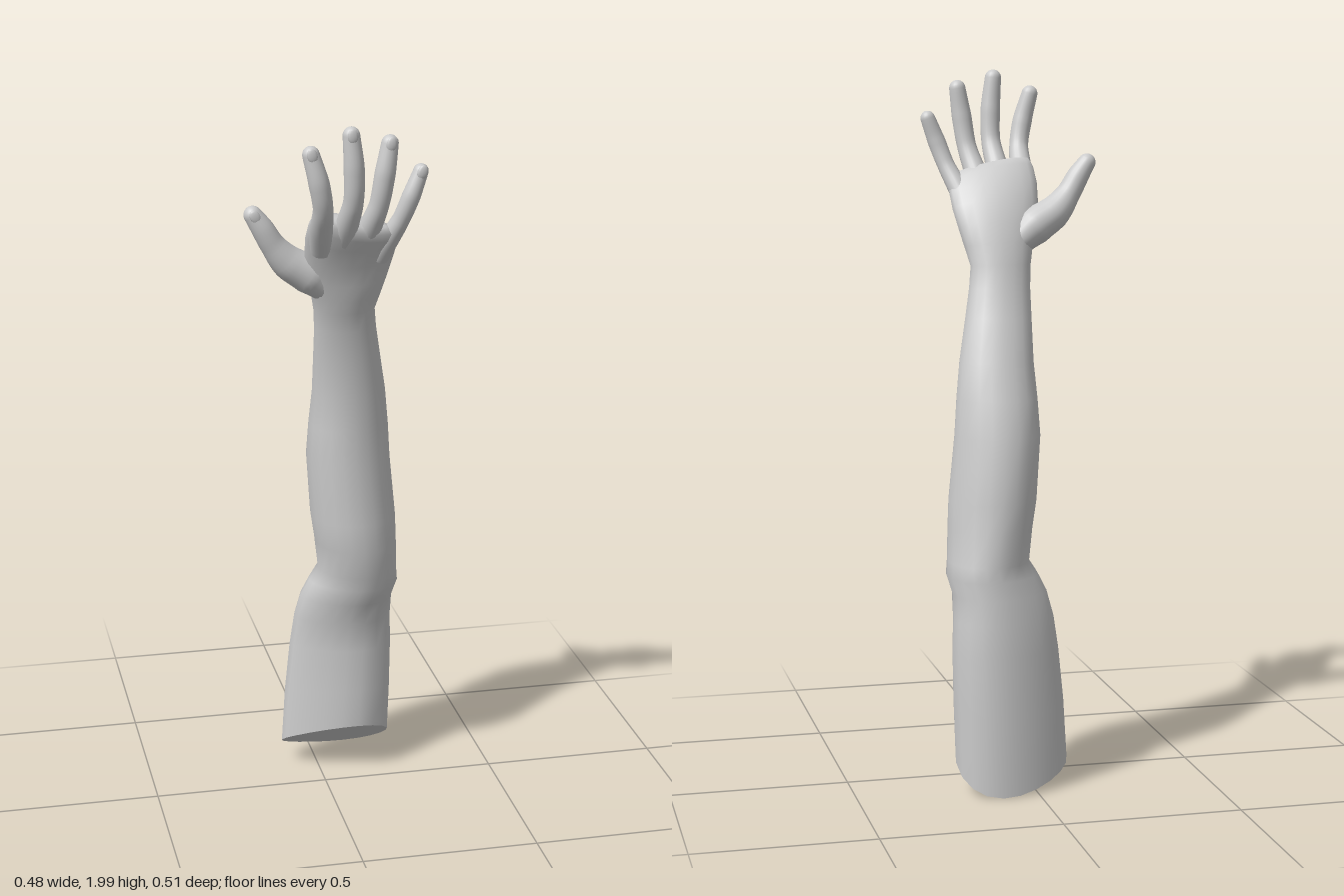
import * as THREE from 'three';

const SIDES = 20;
const skin = new THREE.MeshStandardMaterial({ color: 0xcccccc });

// Skin a list of rings (each SIDES points, counter-clockwise round the growth direction reversed)
function loft(rings, name, capStart) {
  const pos = rings.flat().flatMap(p => [p.x, p.y, p.z]);
  const index = [];
  for (let i = 0; i < rings.length - 1; i++) {
    for (let j = 0; j < SIDES; j++) {
      const k = (j + 1) % SIDES;
      const a = i * SIDES + j, b = a + SIDES, c = i * SIDES + k, d = c + SIDES;
      index.push(a, b, c, c, b, d);
    }
  }
  // Flat cut face with its own vertices, so the rim stays sharp
  if (capStart) {
    const base = pos.length / 3;
    const mid = new THREE.Vector3();
    rings[0].forEach(p => { mid.addScaledVector(p, 1 / SIDES); pos.push(p.x, p.y, p.z); });
    pos.push(mid.x, mid.y, mid.z);
    for (let j = 0; j < SIDES; j++) index.push(base + SIDES, base + j, base + (j + 1) % SIDES);
  }
  const geo = new THREE.BufferGeometry();
  geo.setAttribute('position', new THREE.Float32BufferAttribute(pos, 3));
  geo.setIndex(index);
  geo.computeVertexNormals();
  const mesh = new THREE.Mesh(geo, skin);
  mesh.name = name;
  return mesh;
}

// Oval ring: x range, z range, egg (deeper towards +x), slope of y along z, slope of y along x
function oval([y, x0, x1, z0, z1, egg = 0, tilt = 0, lean = 0]) {
  const cx = (x0 + x1) / 2, cz = (z0 + z1) / 2, hx = (x1 - x0) / 2, hz = (z1 - z0) / 2;
  return Array.from({ length: SIDES }, (_, j) => {
    const a = j / SIDES * Math.PI * 2;
    const dx = Math.cos(a) * hx, dz = Math.sin(a) * hz * (1 + egg * Math.cos(a));
    return new THREE.Vector3(cx + dx, y + dz * tilt + dx * lean, cz + dz);
  });
}

// Rounded digit along a smooth path, with a radius given at each path point
function digit(name, path, radii) {
  const curve = new THREE.CatmullRomCurve3(path.map(p => new THREE.Vector3(...p)));
  const steps = 28, last = path.length - 1;
  const frames = curve.computeFrenetFrames(steps, false);
  const rings = [];
  const ring = (centre, i, r) => rings.push(Array.from({ length: SIDES }, (_, j) => {
    const a = j / SIDES * Math.PI * 2;
    return centre.clone().addScaledVector(frames.normals[i], Math.cos(a) * r)
      .addScaledVector(frames.binormals[i], -Math.sin(a) * r);
  }));
  for (let i = 0; i <= steps; i++) {
    const t = curve.getUtoTmapping(i / steps) * last, k = Math.min(Math.floor(t), last - 1);
    ring(curve.getPointAt(i / steps), i, THREE.MathUtils.lerp(radii[k], radii[k + 1], t - k));
  }
  // Dome over the fingertip
  const end = curve.getPoint(1), r = radii[last];
  for (let s = 1; s <= 6; s++) {
    const a = s / 6 * Math.PI / 2;
    ring(end.clone().addScaledVector(frames.tangents[steps], Math.sin(a) * r), steps, Math.max(Math.cos(a) * r, 1e-4));
  }
  return loft(rings, name, false);
}

// Flattened nail on the back of a fingertip
function nail(name, [x, y, z], roll) {
  const mesh = new THREE.Mesh(new THREE.SphereGeometry(1, 12, 8), skin);
  mesh.scale.set(0.014, 0.02, 0.006);
  mesh.position.set(x, y, z);
  mesh.rotation.z = roll;
  mesh.name = name;
  return mesh;
}

export function createModel() {
  const model = new THREE.Group();
  model.name = 'raisedArm';

  // Upper arm, elbow, forearm, wrist and palm in one skin
  const sections = [
    [0.085, -0.105, 0.215, -0.245, -0.025, 0.3, 0.68],
    [0.25, -0.095, 0.22, -0.242, -0.028, 0.3, 0.2],
    [0.40, -0.08, 0.222, -0.238, -0.03, 0.28],
    [0.49, -0.068, 0.218, -0.232, -0.022, 0.25],
    [0.56, -0.052, 0.216, -0.226, 0.008, 0.25],
    [0.61, -0.028, 0.23, -0.222, 0.025, 0.2],
    [0.65, -0.003, 0.225, -0.22, 0.038, 0.1],
    [0.74, -0.015, 0.22, -0.21, 0.06],
    [0.82, -0.027, 0.218, -0.205, 0.054, -0.05],
    [1.00, -0.04, 0.2, -0.185, 0.045, -0.1],
    [1.10, -0.036, 0.192, -0.157, 0.042, -0.1],
    [1.20, -0.03, 0.18, -0.125, 0.042, -0.05],
    [1.32, -0.033, 0.156, -0.076, 0.056],
    [1.40, -0.035, 0.14, -0.045, 0.07],
    [1.46, -0.04, 0.132, -0.028, 0.083, 0, -0.1],
    [1.51, -0.05, 0.145, -0.012, 0.098, 0, -0.3],
    [1.56, -0.064, 0.158, 0.012, 0.108, 0, -0.45],
    [1.62, -0.076, 0.17, 0.042, 0.125, -0.1, -0.6, -0.05],
    [1.67, -0.08, 0.172, 0.08, 0.15, -0.1, -0.7, -0.12],
    [1.705, -0.076, 0.17, 0.11, 0.172, -0.1, -0.8, -0.18],
    [1.725, -0.068, 0.163, 0.132, 0.18, 0, -0.8, -0.2],
    [1.733, -0.04, 0.13, 0.15, 0.176, 0, -0.8, -0.2],
    [1.735, 0.044, 0.046, 0.162, 0.163],
  ];
  model.add(loft(sections.map(oval), 'armAndPalm', true));

  // Fingers: knuckle, first joint, second joint, tip
  const fingers = [
    ['indexFinger', [[-0.035, 1.65, 0.11], [-0.047, 1.725, 0.172], [-0.052, 1.785, 0.215], [-0.066, 1.855, 0.23], [-0.087, 1.932, 0.228]], 0.25],
    ['middleFinger', [[0.02, 1.65, 0.11], [0.024, 1.73, 0.168], [0.032, 1.80, 0.205], [0.03, 1.89, 0.218], [0.022, 1.977, 0.22]], 0.07],
    ['ringFinger', [[0.075, 1.65, 0.11], [0.09, 1.72, 0.158], [0.106, 1.785, 0.187], [0.118, 1.87, 0.2], [0.13, 1.948, 0.2]], -0.14],
    ['littleFinger', [[0.125, 1.62, 0.1], [0.148, 1.68, 0.136], [0.172, 1.735, 0.162], [0.195, 1.8, 0.178], [0.22, 1.865, 0.178]], -0.36],
  ];
  fingers.forEach(([name, path, roll], i) => {
    const s = i === 3 ? 0.9 : 1;
    model.add(digit(name, path, [0.032, 0.031, 0.027, 0.028, 0.023].map(r => r * s)));
    const [x, y, z] = path[4];
    model.add(nail(name + 'Nail', [x, y, z + 0.02 * s], roll));
  });

  // Thumb with its fleshy base
  model.add(digit('thumb',
    [[0.02, 1.5, 0.042], [-0.055, 1.565, 0.05], [-0.115, 1.605, 0.056], [-0.158, 1.655, 0.064], [-0.188, 1.705, 0.068], [-0.213, 1.742, 0.068]],
    [0.035, 0.054, 0.047, 0.034, 0.031, 0.025]));
  model.add(nail('thumbNail', [-0.21, 1.74, 0.09], 0.55));

  return model;
}
